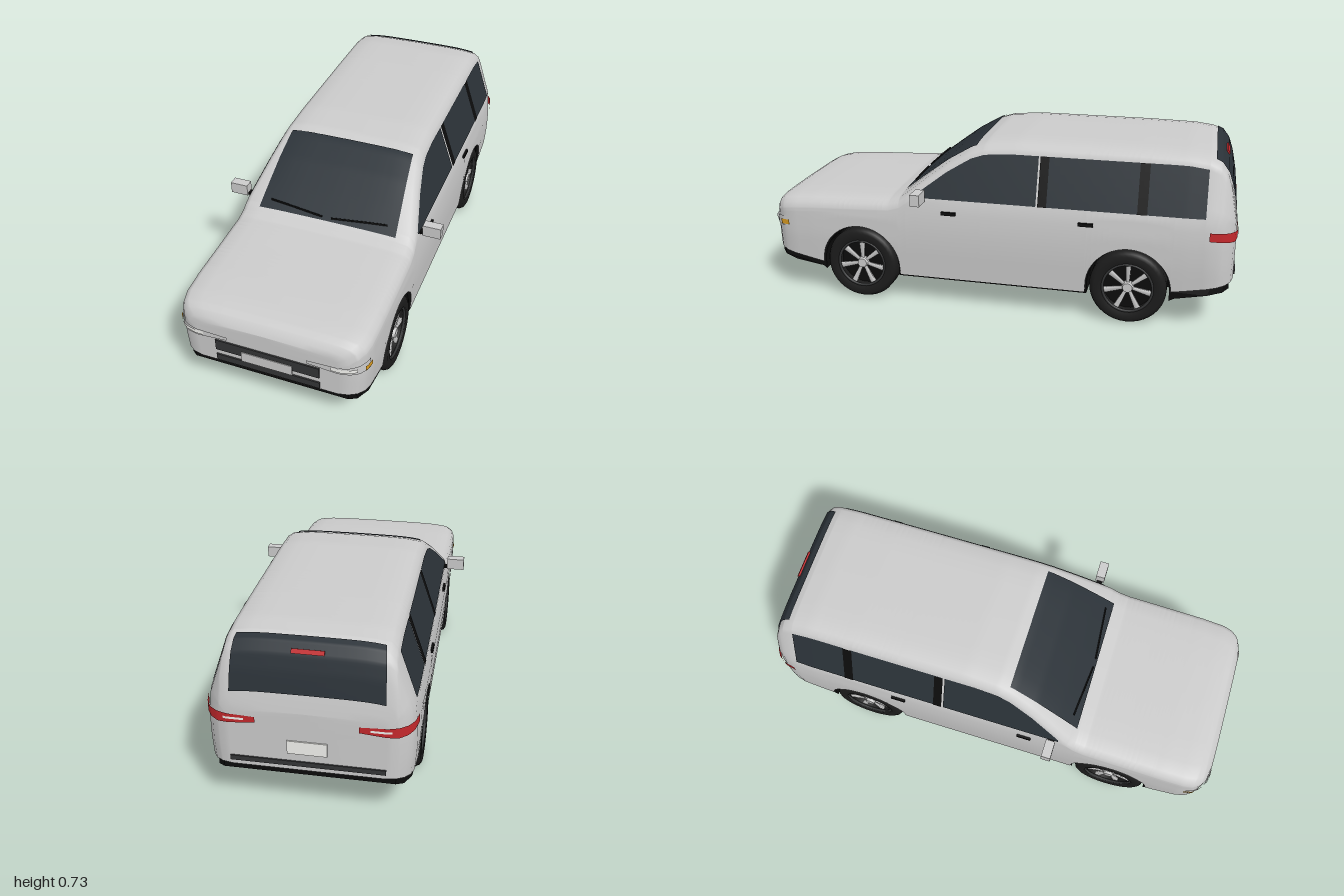
import * as THREE from 'three';

const mat = (color) => new THREE.MeshStandardMaterial({ color, side: THREE.DoubleSide });
const paint = mat(0xcccccc), glass = mat(0x2b3238), black = mat(0x0c0c0c), trim = mat(0x343536);
const rubber = mat(0x1c1c1c), red = mat(0xc4282c), lamp = mat(0xf2f2ee), amber = mat(0xd99a20);

// Piecewise linear lookup in a list of [key, value], keys rising
function lerpKeys(keys, k) {
  if (k <= keys[0][0]) return keys[0][1];
  for (let i = 1; i < keys.length; i++) {
    const [a, va] = keys[i - 1], [b, vb] = keys[i];
    if (k <= b) return va + (vb - va) * (k - a) / (b - a);
  }
  return keys[keys.length - 1][1];
}

// Body rules: centre line height, plan half width, side curvature
const TOP = [[-1, 0.45], [-0.995, 0.48], [-0.985, 0.53], [-0.97, 0.60], [-0.95, 0.66], [-0.92, 0.70], [-0.88, 0.717],
  [-0.8, 0.727], [-0.6, 0.731], [-0.1, 0.731], [0.04, 0.72], [0.1, 0.70], [0.2, 0.64], [0.3, 0.565], [0.37, 0.51],
  [0.4, 0.487], [0.45, 0.472], [0.6, 0.465], [0.8, 0.457], [0.9, 0.449], [0.95, 0.44], [0.975, 0.428], [0.99, 0.412], [1, 0.395]];
const PLAN = [[0.5, 0.395], [0.8, 0.394], [0.9, 0.39], [0.94, 0.38], [0.97, 0.36], [0.99, 0.33], [1, 0.29]];
const SIDE = [[0.1, 0.965], [0.2, 0.985], [0.28, 1], [0.38, 1], [0.47, 0.975], [0.70, 0.775]];
const WHEELS = [0.585, -0.58], AXLE = 0.16, ARCH = 0.176;
const topY = (z) => lerpKeys(TOP, z);
const halfWidth = (z) => lerpKeys(PLAN, Math.abs(z));
const sideX = (y, z) => lerpKeys(SIDE, y) * halfWidth(z);

function bottomY(z) {
  for (const c of WHEELS) {
    const d = Math.abs(z - c);
    if (d <= ARCH) return AXLE + Math.sqrt(Math.max(0, ARCH * ARCH - d * d));
  }
  return lerpKeys([[-1, 0.205], [-0.75, 0.16], [-0.4, 0.125], [0.4, 0.125], [0.75, 0.15], [1, 0.2]], z);
}

// Half cross-section from the sill up to the roof centre
function halfSection(z) {
  const yt = topY(z), yb = bottomY(z), edge = yt - 0.05, belt = Math.min(0.47, yt - 0.07), pts = [];
  for (let i = 0; i < 7; i++) { const y = yb + (belt - yb) * i / 7; pts.push([sideX(y, z), y]); }
  for (let i = 0; i <= 4; i++) { const y = belt + (edge - belt) * i / 4; pts.push([sideX(y, z), y]); }
  const x = sideX(edge, z);
  pts.push([x - 0.008, yt - 0.028], [x - 0.03, yt - 0.012], [x - 0.09, yt - 0.004], [x / 2, yt - 0.001], [0, yt]);
  return pts;
}
function heightAt(x, z) {
  const upper = halfSection(z).slice(-6).reverse();
  return lerpKeys(upper, Math.abs(x));
}

// Surface grid through rows of points
function loft(rows) {
  const n = rows[0].length, index = [];
  for (let i = 0; i < rows.length - 1; i++) for (let j = 0; j < n - 1; j++) {
    const a = i * n + j;
    index.push(a, a + 1, a + n, a + 1, a + n + 1, a + n);
  }
  const g = new THREE.BufferGeometry();
  g.setAttribute('position', new THREE.Float32BufferAttribute(rows.flat(2), 3));
  g.setIndex(index);
  g.computeVertexNormals();
  return g;
}
function patch(nu, nv, fn) {
  const rows = [];
  for (let i = 0; i <= nu; i++) {
    const row = [];
    for (let j = 0; j <= nv; j++) row.push(fn(i / nu, j / nv));
    rows.push(row);
  }
  return loft(rows);
}

function bodyGeometry() {
  const zs = [...TOP.map((k) => k[0]), ...PLAN.flatMap((k) => [k[0], -k[0]])];
  for (let z = -0.95; z < 0.96; z += 0.025) zs.push(z);
  for (const c of WHEELS) {
    zs.push(c - ARCH - 0.003, c + ARCH + 0.003);
    for (let k = 0; k <= 24; k++) zs.push(c + ARCH * Math.cos(Math.PI * k / 24));
  }
  const stations = zs.sort((a, b) => a - b).filter((z, i, all) => i === 0 || z - all[i - 1] > 0.0008);
  const rows = stations.map((z) => {
    const half = halfSection(z).map(([x, y]) => [x, y, z]);
    return [...half, ...half.slice(0, -1).reverse().map(([x, y]) => [-x, y, z])];
  });
  // Close both ends on the centre line
  const close = (row) => row.map(([, y, z]) => [0, y, z]);
  return loft([close(rows[0]), ...rows, close(rows[rows.length - 1])]);
}

// Dark underbody; the wide version has the wheel wells cut out
function underbodyGeometry(half, wells) {
  const s = new THREE.Shape();
  s.moveTo(-0.985, 0.34);
  s.lineTo(-0.985, 0.175); s.lineTo(-0.96, 0.165); s.lineTo(-0.9, 0.155); s.lineTo(-0.77, 0.13);
  for (const c of [...WHEELS].reverse()) {
    if (wells) {
      s.lineTo(c - 0.17, 0.118);
      s.absarc(c, AXLE, 0.17, Math.PI, 0, true);
      s.lineTo(c + 0.17, 0.118);
    }
  }
  s.lineTo(0.77, 0.13); s.lineTo(0.9, 0.148); s.lineTo(0.96, 0.158); s.lineTo(0.985, 0.168); s.lineTo(0.985, 0.34);
  const g = new THREE.ExtrudeGeometry(s, { depth: half * 2, bevelEnabled: false, curveSegments: 24 });
  g.translate(0, 0, -half).rotateY(-Math.PI / 2);
  const p = g.attributes.position;
  for (let i = 0; i < p.count; i++) {
    const lim = halfWidth(p.getZ(i)) * 0.965 - 0.002;
    p.setX(i, THREE.MathUtils.clamp(p.getX(i), -lim, lim));
  }
  g.computeVertexNormals();
  return g;
}

function add(parent, name, geometry, material, x = 0, y = 0, z = 0) {
  const m = new THREE.Mesh(geometry, material);
  m.name = name;
  m.position.set(x, y, z);
  parent.add(m);
  return m;
}
const box = (w, h, d) => new THREE.BoxGeometry(w, h, d);

// Wheel with its outer face towards +x
function makeWheel() {
  const w = new THREE.Group();
  w.name = 'wheel';
  const profile = [[0.1, -0.05], [0.14, -0.05], [0.152, -0.043], [0.16, -0.028], [0.16, 0.028], [0.152, 0.043],
    [0.14, 0.05], [0.112, 0.05], [0.105, 0.04], [0.105, -0.02]].map((p) => new THREE.Vector2(...p));
  add(w, 'tyre', new THREE.LatheGeometry(profile, 40).rotateZ(-Math.PI / 2), rubber);
  add(w, 'wheelBack', new THREE.CylinderGeometry(0.106, 0.106, 0.05, 32).rotateZ(Math.PI / 2), black, -0.02);
  add(w, 'rim', new THREE.TorusGeometry(0.104, 0.006, 8, 40).rotateY(Math.PI / 2), trim, 0.042);
  add(w, 'hub', new THREE.CylinderGeometry(0.02, 0.026, 0.025, 20).rotateZ(-Math.PI / 2), paint, 0.03);
  for (let i = 0; i < 7; i++) {
    const spoke = new THREE.CylinderGeometry(0.016, 0.009, 0.085, 4, 1).rotateY(Math.PI / 4);
    spoke.scale(0.6, 1, 1).translate(0, 0.06, 0);
    add(w, 'spoke', spoke, paint, 0.027).rotation.x = i * Math.PI * 2 / 7;
  }
  return w;
}

// Strip wrapped round a body corner; s is the side, e the end (+1 front)
const CORNER = [[0, 0.16, 1], [0.3, 0.24, 1], [0.45, 0.29, 1], [0.6, 0.33, 0.99], [0.75, 0.36, 0.97], [0.87, 0.38, 0.94], [1, 0.391, 0.89]];
function cornerStrip(s, e, from, to, low, high, off = 0.004) {
  const xs = CORNER.map((c) => [c[0], c[1]]), zs = CORNER.map((c) => [c[0], c[2]]);
  return patch(24, 1, (u, v) => {
    const t = from + (to - from) * u;
    return [s * (lerpKeys(xs, t) + off), v ? lerpKeys(high, t) : lerpKeys(low, t), e * (lerpKeys(zs, t) + off)];
  });
}

export function createModel() {
  const car = new THREE.Group();
  car.name = 'car';
  add(car, 'body', bodyGeometry(), paint);
  add(car, 'underbody', underbodyGeometry(0.39, true), black);
  add(car, 'floor', underbodyGeometry(0.27, false), black);

  // Front and rear glass
  add(car, 'windscreen', patch(24, 16, (u, v) => {
    const z = 0.39 - 0.31 * u, x = (2 * v - 1) * (0.305 - 0.03 * u);
    return [x, heightAt(x, z) + 0.004, z + 0.003];
  }), glass);
  add(car, 'rearWindow', patch(24, 16, (u, v) => {
    const z = -0.987 + 0.092 * u, x = (2 * v - 1) * (0.285 - 0.015 * u);
    return [x, heightAt(x, z) + 0.004, z - 0.004];
  }), glass);
  add(car, 'brakeLight', box(0.12, 0.018, 0.014), red, 0, 0.675, -0.945).rotation.x = 0.5;

  // Nose and tail details
  add(car, 'grille', box(0.43, 0.05, 0.012), trim, 0, 0.288, 1);
  add(car, 'lowerGrille', box(0.43, 0.03, 0.012), trim, 0, 0.223, 1);
  add(car, 'frontPlate', box(0.21, 0.048, 0.008), paint, 0, 0.264, 1.005);
  add(car, 'rearPlate', box(0.15, 0.055, 0.01), lamp, 0, 0.305, -1);
  add(car, 'rearBumperStrip', box(0.58, 0.02, 0.012), trim, 0, 0.235, -1);

  for (const s of [1, -1]) {
    // Side windows with dark pillars between them
    const sidePane = (name, z0, z1, m, off) => add(car, name, patch(20, 6, (u, v) => {
      const z = z0 + (z1 - z0) * u, y = 0.485 + v * (Math.min(0.682, topY(z) - 0.046) - 0.485);
      return [s * (sideX(y, z) + off), y, z];
    }), m);
    sidePane('frontSideWindow', 0.33, -0.19, glass, 0.004);
    sidePane('rearSideWindow', -0.2, -0.61, glass, 0.004);
    sidePane('cargoWindow', -0.64, -0.875, glass, 0.004);
    sidePane('doorPillar', -0.198, -0.235, black, 0.006);
    sidePane('rearPillar', -0.605, -0.645, black, 0.006);

    // Lights
    add(car, 'headlight', cornerStrip(s, 1, 0, 0.93, [[0, 0.325], [0.4, 0.316], [1, 0.308]],
      [[0, 0.34], [0.5, 0.346], [1, 0.358]]), paint);
    add(car, 'headlightLens', cornerStrip(s, 1, 0.35, 0.72, [[0, 0.325]], [[0, 0.342]], 0.007), lamp);
    add(car, 'turnSignal', cornerStrip(s, 1, 0.84, 0.96, [[0, 0.318]], [[0, 0.34]], 0.007), amber);
    add(car, 'taillight', cornerStrip(s, -1, 0.1, 1, [[0, 0.4], [0.6, 0.385], [1, 0.398]],
      [[0, 0.42], [0.6, 0.428], [1, 0.434]]), red);
    add(car, 'reverseLight', cornerStrip(s, -1, 0.25, 0.5, [[0, 0.405]], [[0, 0.414]], 0.006), lamp);

    // Mirror, door handles, wiper
    add(car, 'mirror', box(0.077, 0.05, 0.04), paint, s * 0.436, 0.502, 0.3);
    add(car, 'mirrorStem', box(0.045, 0.01, 0.025), black, s * 0.395, 0.482, 0.3);
    for (const z of [0.18, -0.4]) add(car, 'doorHandle', box(0.012, 0.014, 0.062), black, s * 0.393, 0.427, z);
    const path = [0.02, 0.1, 0.18, 0.26].map((x, i) => {
      const z = 0.38 - i * 0.007;
      return new THREE.Vector3(s * x, heightAt(x, z) + 0.008, z + 0.004);
    });
    add(car, 'wiper', new THREE.TubeGeometry(new THREE.CatmullRomCurve3(path), 12, 0.004, 6), black);

    for (const z of WHEELS) {
      const wheel = makeWheel();
      wheel.position.set(s * 0.34, AXLE, z);
      if (s < 0) wheel.rotation.y = Math.PI;
      car.add(wheel);
    }
  }
  return car;
}
